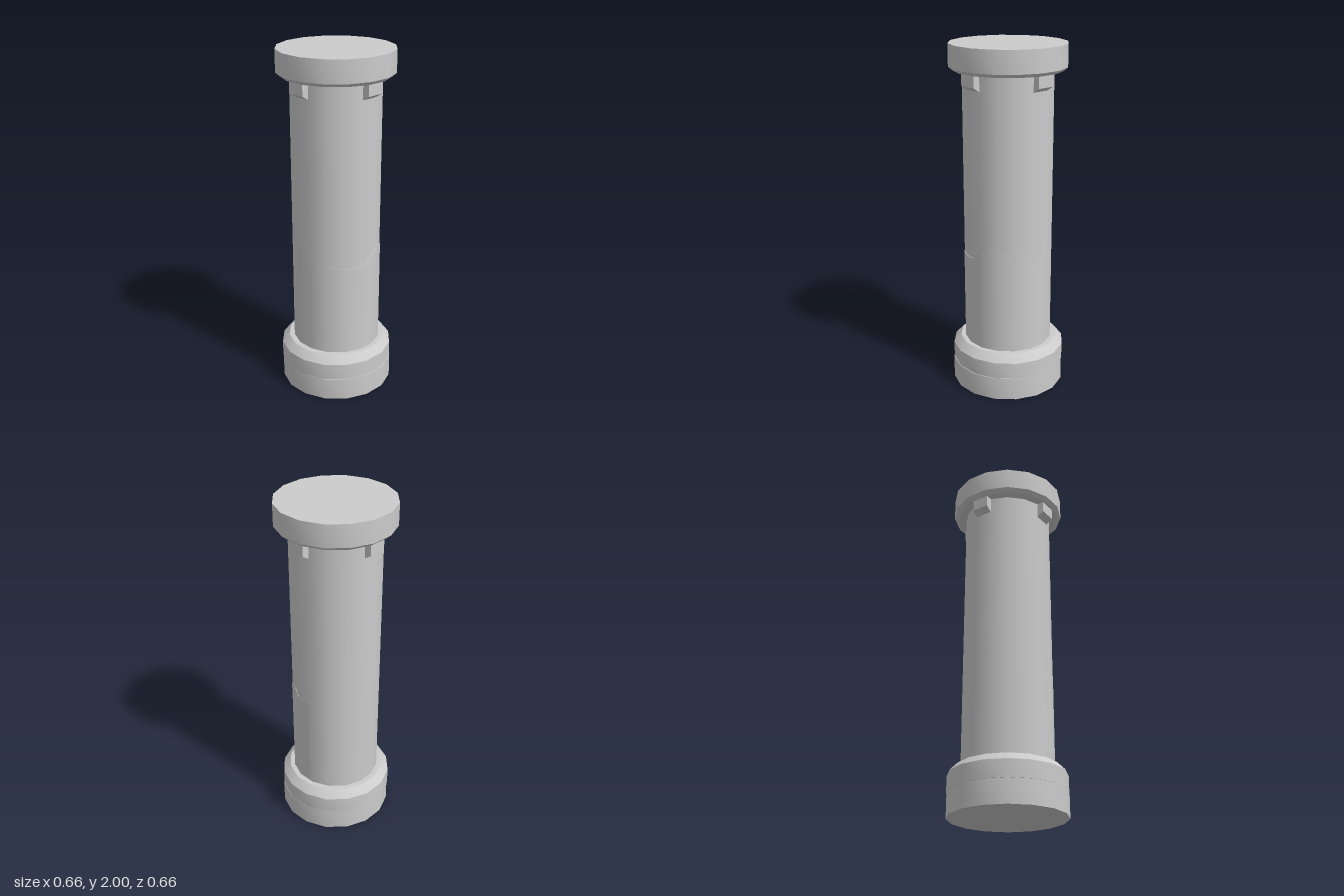
import * as THREE from 'three';
import { toCreasedNormals } from 'three/addons/utils/BufferGeometryUtils.js';

const SIDES = 16;
const SHAFT_R = 0.255;
const SHIFT = 0.002; // upper pieces lean to -x, broken lower pieces to +x

const material = new THREE.MeshStandardMaterial({ color: 0xcccccc });

function addMesh(group, name, geometry, x = 0) {
  const mesh = new THREE.Mesh(geometry, material);
  mesh.name = name;
  mesh.position.x = x;
  group.add(mesh);
  return mesh;
}

// Sixteen-sided turned piece with soft sides and sharp rims
function turned(profile) {
  const points = profile.map(([r, y]) => new THREE.Vector2(r, y));
  return toCreasedNormals(new THREE.LatheGeometry(points, SIDES), 0.5);
}

// Height of the crack around the shaft: [angle from +x towards +z in degrees, y]
const CRACK = [
  [-180, 0.83], [-120, 0.83], [-90, 0.85], [-66, 0.855], [-56, 0.89], [-45, 0.855],
  [-28, 0.87], [-13, 0.898], [3, 0.868], [16, 0.815], [30, 0.808], [52, 0.81],
  [60, 0.828], [68, 0.81], [90, 0.825], [180, 0.83],
];

function crackHeight(x, z) {
  const a = THREE.MathUtils.radToDeg(Math.atan2(z, x));
  const i = Math.max(1, CRACK.findIndex(([deg]) => deg >= a));
  const [a0, y0] = CRACK[i - 1];
  const [a1, y1] = CRACK[i];
  return y0 + (y1 - y0) * (a - a0) / (a1 - a0);
}

// Lower shaft: finely divided, pulled onto the sixteen-sided outline, with a jagged top
function brokenShaft() {
  const geometry = new THREE.CylinderGeometry(SHAFT_R, SHAFT_R, 1, SIDES * 6);
  const p = geometry.attributes.position;
  const step = (Math.PI * 2) / SIDES;
  for (let i = 0; i < p.count; i++) {
    const x = p.getX(i), z = p.getZ(i);
    const top = p.getY(i) > 0;
    if (Math.hypot(x, z) < 0.01) {
      p.setY(i, top ? 0.8 : 0.26);
      continue;
    }
    const a = Math.atan2(z, x) + Math.PI * 2;
    const k = Math.cos(step / 2) / Math.cos((a % step) - step / 2);
    p.setXYZ(i, x * k, top ? crackHeight(x, z) : 0.26, z * k);
  }
  return geometry;
}

// Bracket under the cap, with an underside that rises outwards
function bracketGeometry() {
  const width = 2 * SHAFT_R * Math.sin(Math.PI / SIDES);
  const shape = new THREE.Shape([
    [0.22, 1.765], [0.25, 1.765], [0.29, 1.79], [0.29, 1.86], [0.22, 1.86],
  ].map(([x, y]) => new THREE.Vector2(x, y)));
  const geometry = new THREE.ExtrudeGeometry(shape, { depth: width, bevelEnabled: false });
  return geometry.translate(0, 0, -width / 2);
}

export function createModel() {
  const group = new THREE.Group();
  group.name = 'column';

  // Base, split by a horizontal crack
  addMesh(group, 'baseLower', turned([[0, 0], [0.328, 0], [0.328, 0.133], [0, 0.133]]), SHIFT);
  addMesh(group, 'baseUpper', turned([
    [0, 0.133], [0.328, 0.133], [0.328, 0.23], [0.285, 0.273], [0, 0.273],
  ]), -SHIFT);

  // Shaft, with the broken lower part slightly displaced
  addMesh(group, 'shaft', new THREE.CylinderGeometry(SHAFT_R, SHAFT_R, 1.61, SIDES).translate(0, 1.065, 0), -SHIFT);
  addMesh(group, 'shaftLower', brokenShaft(), SHIFT);

  // Cap with a chamfered lower rim
  addMesh(group, 'cap', turned([
    [0, 1.855], [0.305, 1.855], [0.328, 1.875], [0.328, 2], [0, 2],
  ]), -SHIFT);

  // Four brackets, each on one facet of the shaft
  const bracket = bracketGeometry();
  for (let i = 0; i < 4; i++) {
    addMesh(group, 'bracket', bracket, -SHIFT).rotation.y = i * Math.PI / 2 - Math.PI / SIDES;
  }
  return group;
}
